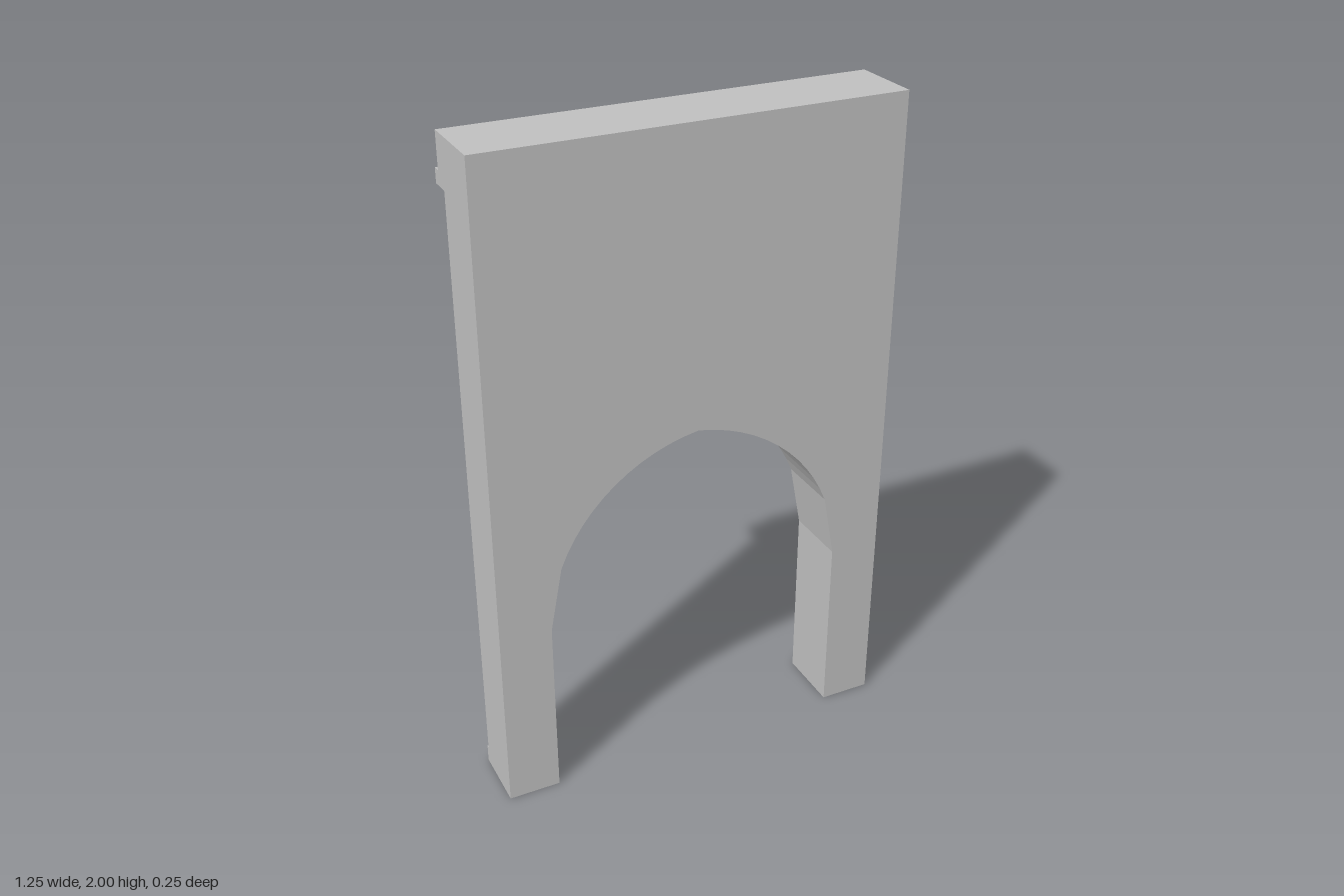
import * as THREE from 'three';

const stone = new THREE.MeshStandardMaterial({ color: 0xbfbfbf });
stone.name = 'stone';

const HALF = 0.625, SPRING = 0.57;

// Two-centred pointed arch, from right springing over the apex to the left.
// c is how far each arc centre lies beyond the middle line.
function archPoints(halfWidth, spring, c, steps) {
  const r = halfWidth + c, start = 0.374, end = Math.acos(c / r);
  const right = [[halfWidth, spring]];
  for (let i = 0; i <= steps; i++) {
    const a = start + (end - start) * i / steps;
    right.push([r * Math.cos(a) - c, spring + r * Math.sin(a)]);
  }
  right[right.length - 1][0] = 0;
  const left = right.slice(0, -1).reverse().map(([x, y]) => [-x, y]);
  return [...right, ...left];
}

const toShape = (pts) => new THREE.Shape(pts.map(([x, y]) => new THREE.Vector2(x, y)));

function slab(name, shape, z0, z1) {
  const geo = new THREE.ExtrudeGeometry(shape, { depth: z1 - z0, bevelEnabled: false });
  geo.translate(0, 0, z0);
  const mesh = new THREE.Mesh(geo, stone);
  mesh.name = name;
  return mesh;
}

function block(name, x0, x1, y0, y1, z0, z1) {
  const geo = new THREE.BoxGeometry(x1 - x0, y1 - y0, z1 - z0);
  geo.translate((x0 + x1) / 2, (y0 + y1) / 2, (z0 + z1) / 2);
  const mesh = new THREE.Mesh(geo, stone);
  mesh.name = name;
  return mesh;
}

export function createModel() {
  const group = new THREE.Group();
  group.name = 'archedGateway';

  const opening = [[0.467, 0], ...archPoints(0.467, SPRING, 0.08, 12), [-0.467, 0]];
  const wallOutline = [...opening, [-HALF, 0], [-HALF, 2], [HALF, 2], [HALF, 0]];

  // Wall: solid front layer, back layer pierced by the niche
  group.add(slab('wallFront', toShape(wallOutline), 0.03, 0.125));
  const backShape = toShape(wallOutline);
  const niche = [[0.157, 1.35], ...archPoints(0.157, 1.53, 0.037, 10), [-0.157, 1.35]];
  backShape.holes.push(new THREE.Path(niche.map(([x, y]) => new THREE.Vector2(x, y))));
  group.add(slab('wallBackWithNiche', backShape, -0.06, 0.03));

  // Raised moulding around the opening
  const outer = [[0.51, 0], ...archPoints(0.51, SPRING, 0.11, 12), [-0.51, 0]];
  group.add(slab('archMoulding', toShape([...outer, ...opening.slice().reverse()]), -0.08, -0.06));

  // Plinths at the feet
  for (const s of [-1, 1]) {
    const [a, b] = s > 0 ? [0.51, HALF] : [-HALF, -0.51];
    group.add(block(s > 0 ? 'leftPlinth' : 'rightPlinth', a, b, 0, 0.055, -0.07, -0.06));
  }

  // Cornice: parapet band over a projecting ledge
  group.add(block('parapetBand', -HALF, HALF, 1.895, 2, -0.1, -0.06));
  group.add(block('corniceLedge', -HALF, HALF, 1.853, 1.895, -0.125, -0.06));
  return group;
}
